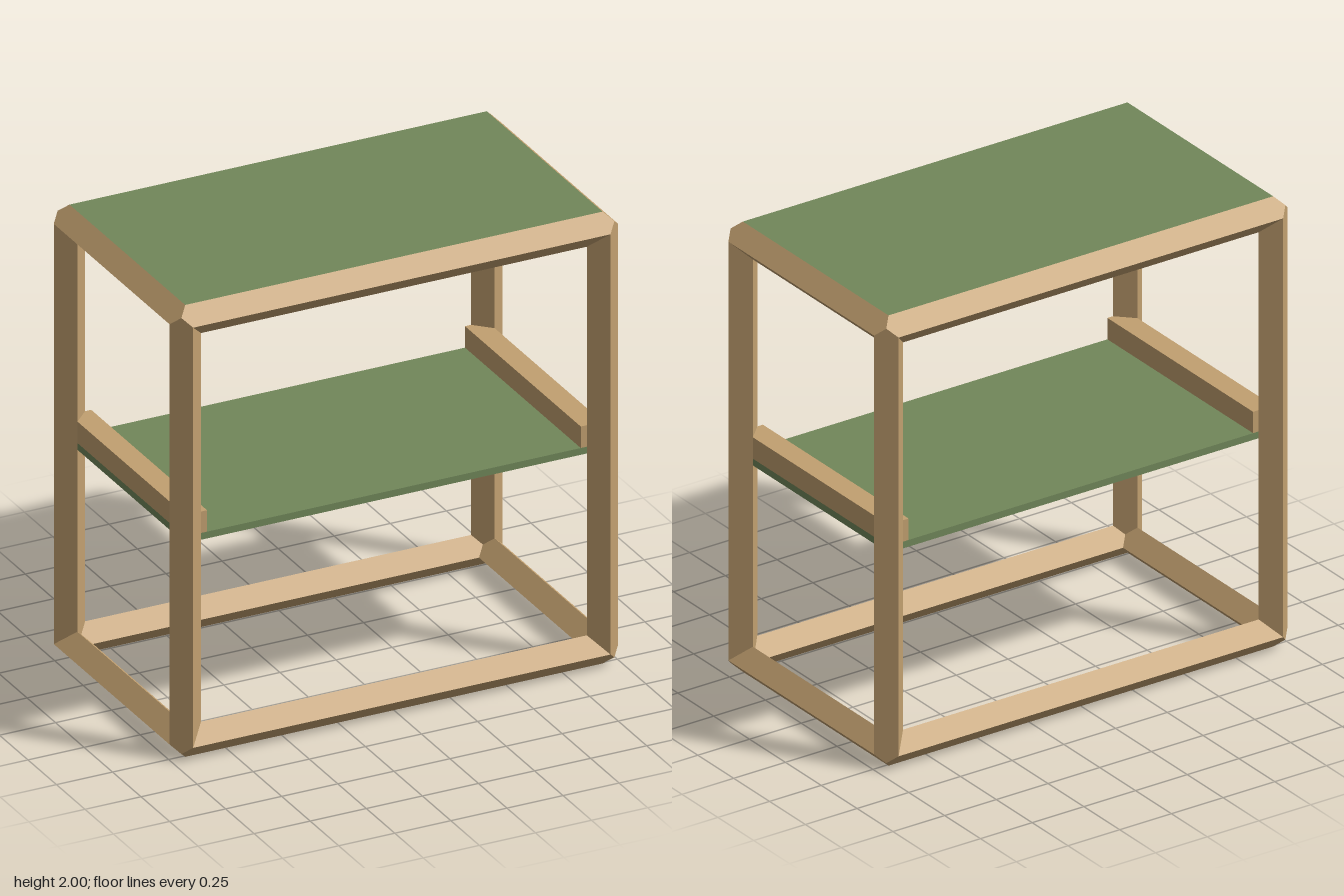
import * as THREE from 'three';
import { ConvexGeometry } from 'three/addons/geometries/ConvexGeometry.js';

const R = 0.07;                     // half diagonal of the diamond bars
const C = [0.93, 0.93, 0.508];      // half spans between bar centrelines
const MID = 1;                      // height of the frame centre

export function createModel() {
  const model = new THREE.Group();
  const wood = new THREE.MeshStandardMaterial({ color: 0xc2a070, flatShading: true });
  const green = new THREE.MeshStandardMaterial({ color: 0x71875a, flatShading: true });

  // Diamond-section bar along one axis, with mitred tips that meet at the frame corners
  function bar(axis, s1, s2, name) {
    const b = (axis + 1) % 3, c = (axis + 2) % 3;
    const points = [];
    const add = (along, u, v) => {
      const p = [0, 0, 0];
      p[axis] = along;
      p[b] = s1 * C[b] + u;
      p[c] = s2 * C[c] + v;
      points.push(new THREE.Vector3(...p));
    };
    for (const end of [-1, 1]) {
      for (const [u, v] of [[R, 0], [0, R], [-R, 0], [0, -R]]) add(end * C[axis], u, v);
      add(end * (C[axis] + R / 2), s1 * R / 2, s2 * R / 2);
    }
    const mesh = new THREE.Mesh(new ConvexGeometry(points), wood);
    mesh.position.y = MID;
    mesh.name = name;
    model.add(mesh);
  }

  // Twelve bars of the open frame
  const names = ['crossBar', 'post', 'sideBar'];
  for (let axis = 0; axis < 3; axis++)
    for (const s1 of [-1, 1])
      for (const s2 of [-1, 1]) bar(axis, s1, s2, names[axis]);

  function box(name, material, x0, x1, y0, y1) {
    const mesh = new THREE.Mesh(new THREE.BoxGeometry(x1 - x0, y1 - y0, 2 * C[2]), material);
    mesh.position.set((x0 + x1) / 2, (y0 + y1) / 2, 0);
    mesh.name = name;
    model.add(mesh);
  }

  // Top panel and middle shelf
  box('topPanel', green, -C[0], C[0], 1.97, 2);
  box('shelf', green, -C[0], C[0], 0.945, 0.975);

  // Rails standing on the shelf ends
  box('leftRail', wood, 0.833, C[0], 0.975, 1.07);
  box('rightRail', wood, -C[0], -0.833, 0.975, 1.07);

  return model;
}
